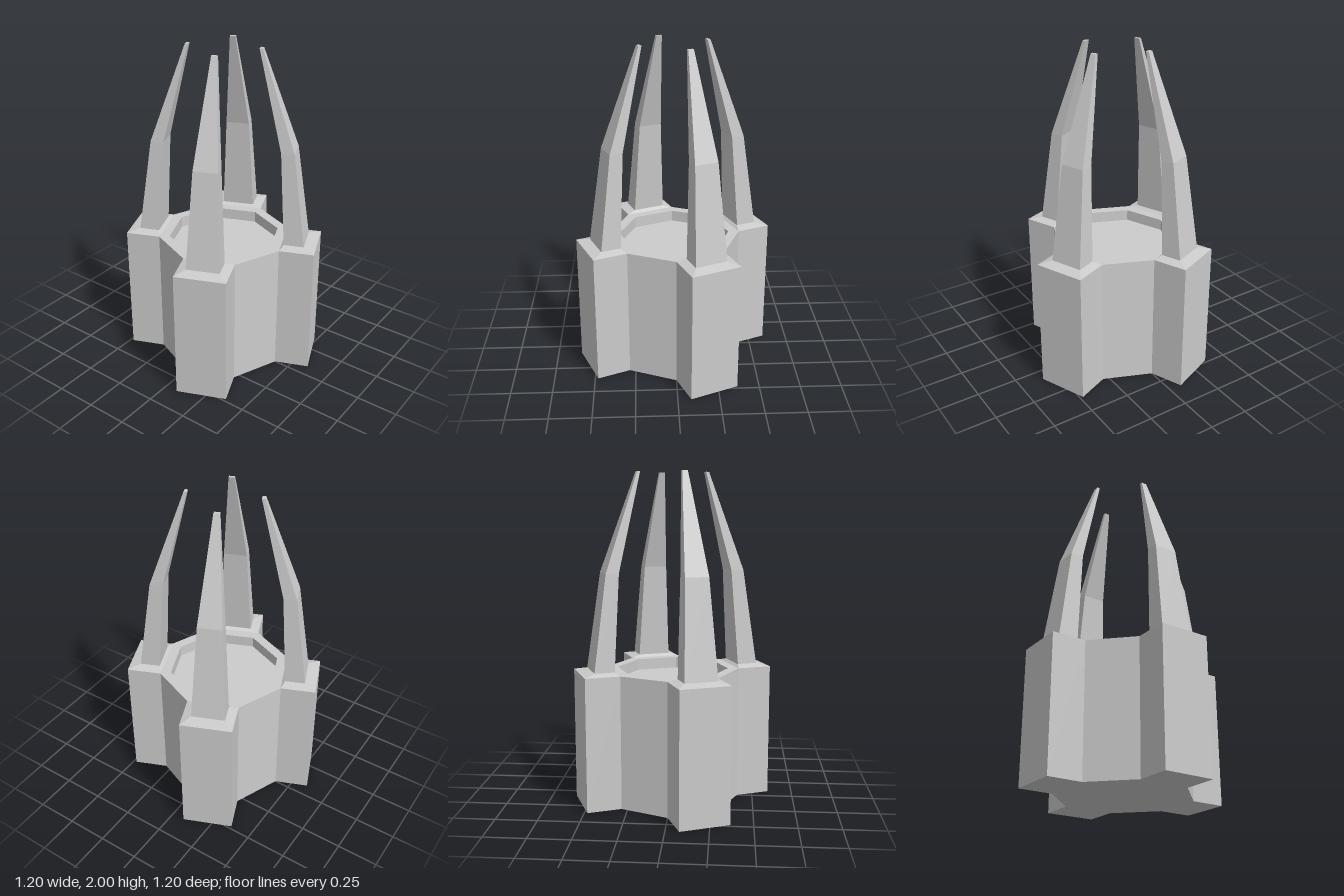
import * as THREE from 'three';

const material = new THREE.MeshStandardMaterial({ color: 0xcccccc, flatShading: true });

// Lofts a closed solid through rectangular sections [y, inner z, outer z, half width].
function loft(sections) {
  const rings = sections.map(([y, z0, z1, w]) => [[-w, y, z1], [w, y, z1], [w, y, z0], [-w, y, z0]]);
  const pos = [];
  const quad = (a, b, c, d) => pos.push(...a, ...b, ...c, ...a, ...c, ...d);
  for (let k = 0; k < rings.length - 1; k++) {
    const lo = rings[k], hi = rings[k + 1];
    for (let i = 0; i < 4; i++) {
      const j = (i + 1) % 4;
      quad(lo[i], lo[j], hi[j], hi[i]);
    }
  }
  const first = rings[0], last = rings[rings.length - 1];
  quad(first[3], first[2], first[1], first[0]);
  quad(...last);
  const geometry = new THREE.BufferGeometry();
  geometry.setAttribute('position', new THREE.Float32BufferAttribute(pos, 3));
  geometry.computeVertexNormals();
  return geometry;
}

function part(name, geometry) {
  const mesh = new THREE.Mesh(geometry, material);
  mesh.name = name;
  return mesh;
}

export function createModel() {
  const model = new THREE.Group();
  model.name = 'spikedTower';

  // Octagonal core with a recessed roof inside a raised rim
  const profile = [[0, 0], [0.405, 0], [0.405, 0.815], [0.34, 0.815], [0.34, 0.745], [0, 0.745]]
    .map(([r, y]) => new THREE.Vector2(r, y));
  model.add(part('octagonalCore', new THREE.LatheGeometry(profile, 8).toNonIndexed()));

  // Buttress with a shallow sloped cap, and the bent spike rising from it
  const buttress = loft([
    [0, 0.374, 0.585, 0.155],
    [0.815, 0.374, 0.585, 0.155],
    [0.83, 0.393, 0.515, 0.1],
  ]);
  const spike = loft([
    [0.83, 0.393, 0.515, 0.1],
    [1.41, 0.354, 0.433, 0.072],
    [2, 0.205, 0.224, 0.017],
  ]);

  // Repeat on every second face of the octagon
  for (let i = 0; i < 4; i++) {
    const arm = new THREE.Group();
    arm.name = 'arm' + (i + 1);
    arm.add(part('buttress', buttress), part('spike', spike));
    arm.rotation.y = Math.PI / 8 + i * Math.PI / 2;
    model.add(arm);
  }
  return model;
}
